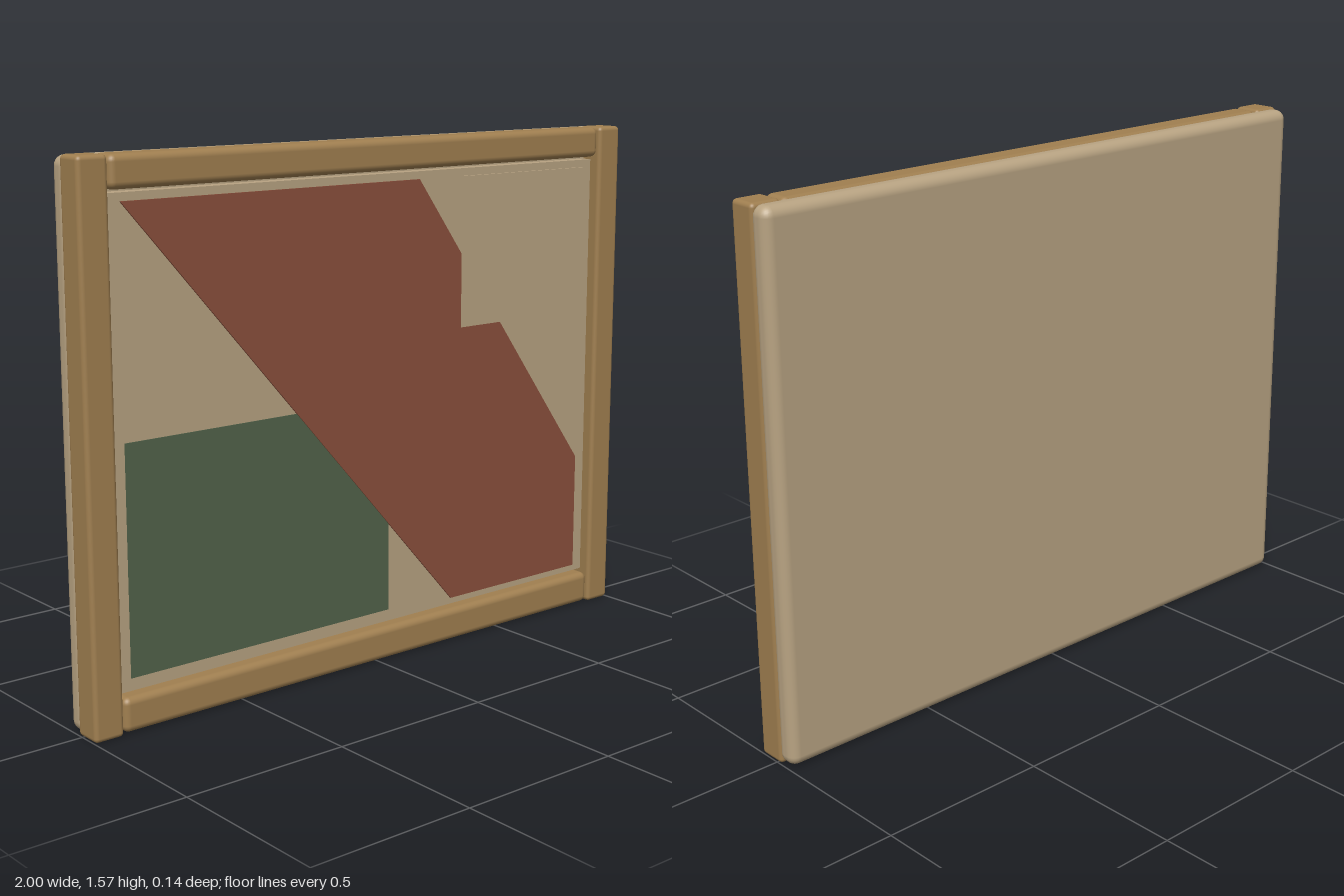
import * as THREE from 'three';
import { RoundedBoxGeometry } from 'three/addons/geometries/RoundedBoxGeometry.js';

const W = 2, H = 1.57;

function material(name, color) {
  const m = new THREE.MeshStandardMaterial({ color });
  m.name = name;
  return m;
}

export function createModel() {
  const group = new THREE.Group();
  group.name = 'framedPicture';
  const wood = material('wood', 0xa07f50);
  const canvas = material('canvas', 0xb8a382);
  const red = material('brickRed', 0x8b503c);
  const green = material('darkGreen', 0x52634a);

  const add = (name, geometry, mat, x, y, z) => {
    const mesh = new THREE.Mesh(geometry, mat);
    mesh.name = name;
    mesh.position.set(x, y, z);
    group.add(mesh);
  };
  // Rounded block given by its ranges
  const block = (name, mat, x0, x1, y0, y1, z0, z1, r) =>
    add(name, new RoundedBoxGeometry(x1 - x0, y1 - y0, z1 - z0, 3, r), mat,
      (x0 + x1) / 2, (y0 + y1) / 2, (z0 + z1) / 2);
  // Thin painted shape on the picture face
  const plate = (name, mat, points, z, depth) => {
    const shape = new THREE.Shape(points.map(([x, y]) => new THREE.Vector2(x, y)));
    add(name, new THREE.ExtrudeGeometry(shape, { depth, bevelEnabled: false }), mat, 0, 0, z);
  };
  const rect = (x0, x1, y0, y1) => [[x0, y0], [x1, y0], [x1, y1], [x0, y1]];

  // Backing board, slightly inside the frame outline
  block('backBoard', canvas, -0.997, 0.997, 0.003, H - 0.003, -0.07, 0, 0.03);

  // Frame: two stiles at full height, two softer rails between them
  for (const [side, s] of [['left', 1], ['right', -1]]) {
    const a = s * 0.908, b = s * W / 2;
    block(side + 'Stile', wood, Math.min(a, b), Math.max(a, b), 0, H, -0.02, 0.07, 0.013);
  }
  block('bottomRail', wood, -0.904, 0.904, 0.003, 0.103, -0.02, 0.068, 0.02);
  block('topRail', wood, -0.904, 0.904, H - 0.093, H - 0.001, -0.02, 0.068, 0.02);

  // Recessed picture panel
  plate('picturePanel', canvas, rect(-0.898, 0.898, 0.112, 1.468), -0.01, 0.05);

  // Painted shapes, layered from back to front
  plate('greenField', green, rect(-0.865, 0.055, 0.148, 0.805), 0.038, 0.004);
  plate('redBand', red, [
    [-0.86, 1.445], [0.31, 0.132], [0.857, 0.132], [0.857, 0.503], [0.17, 1.445],
  ], 0.038, 0.007);
  plate('cornerPatch', canvas, rect(0.34, 0.857, 0.987, 1.445), 0.039, 0.009);

  return group;
}
